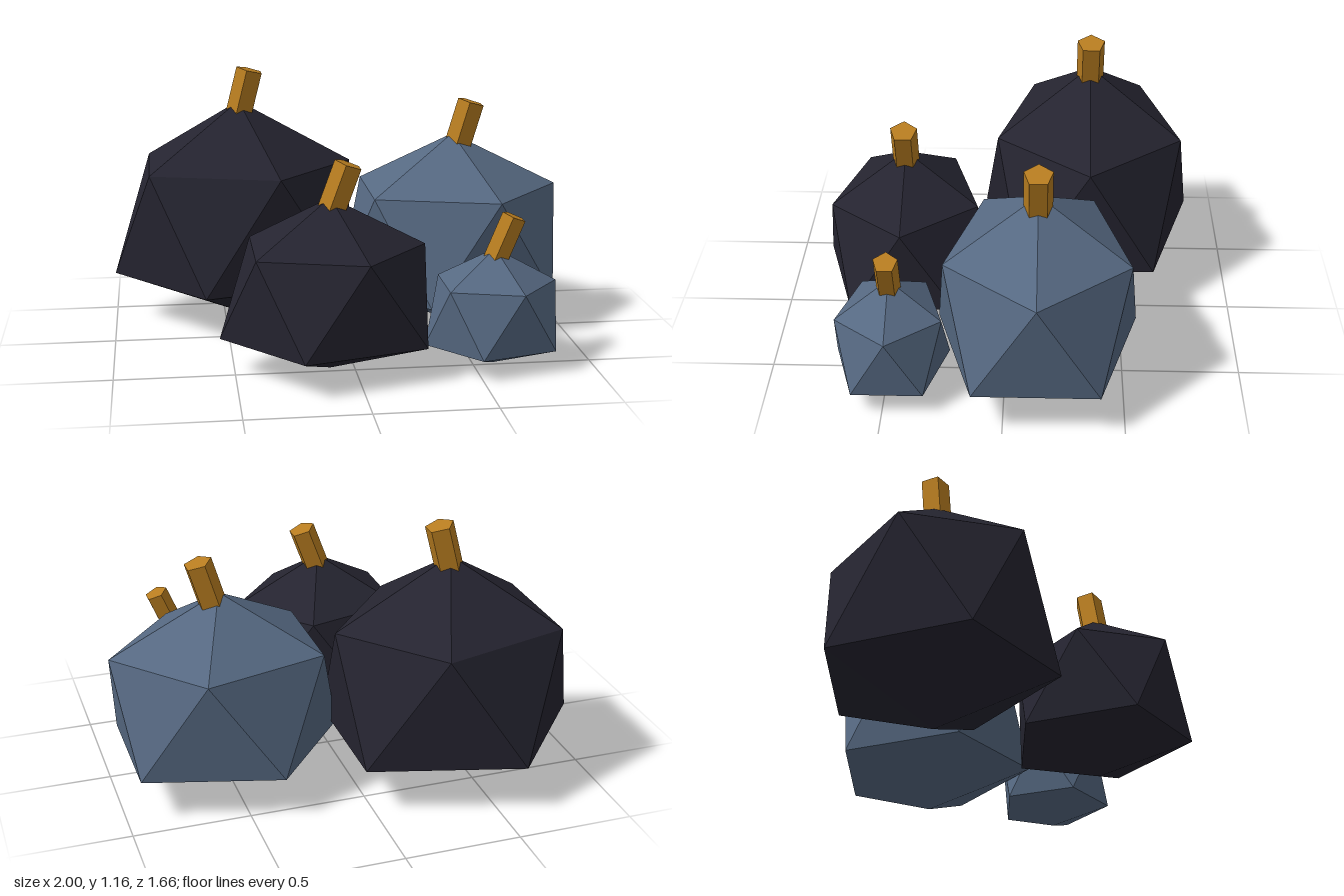
import * as THREE from 'three';

const darkSkin = new THREE.MeshStandardMaterial({ name: 'dark skin', color: 0x252430 });
const blueSkin = new THREE.MeshStandardMaterial({ name: 'slate blue skin', color: 0x566982 });
const stemBrown = new THREE.MeshStandardMaterial({ name: 'golden brown stem', color: 0xb87d20 });

// Faceted fruit body: a stretched, tapered twenty-sided solid from two rings of five and two poles
function bodyGeometry({ top, upper, lower }) {
  const ring = ([rx, rz, y], offset) => Array.from({ length: 5 }, (_, k) => {
    const a = (k + offset) * Math.PI * 0.4;
    return [Math.cos(a) * rx, y, Math.sin(a) * rz];
  });
  const u = ring(upper, 0), l = ring(lower, 0.5);
  const apex = [0, top, 0], base = [0, 0, 0], points = [];
  for (let k = 0; k < 5; k++) {
    const n = (k + 1) % 5;
    points.push(apex, u[n], u[k]);
    points.push(u[k], u[n], l[k]);
    points.push(l[k], u[n], l[n]);
    points.push(base, l[k], l[n]);
  }
  const geometry = new THREE.BufferGeometry();
  geometry.setAttribute('position', new THREE.Float32BufferAttribute(points.flat(), 3));
  geometry.computeVertexNormals();
  return geometry;
}

// Five-sided stem hanging down from the centre of its top cap and leaning towards +x
function makeStem({ cap, tilt, radius, length }) {
  const geometry = new THREE.CylinderGeometry(radius, radius, length, 5, 1, false, -Math.PI / 2).toNonIndexed();
  geometry.translate(0, -length / 2, 0);
  geometry.computeVertexNormals();
  const stem = new THREE.Mesh(geometry, stemBrown);
  stem.rotation.z = -tilt;
  stem.position.set(cap[0], cap[1], 0);
  stem.name = 'stem';
  return stem;
}

// Rings are [x radius, z radius, height]; caps are relative to the fruit centre
const fruits = [
  { name: 'largeDarkFruit', skin: darkSkin, x: -0.423, z: -0.355, top: 1.0,
    upper: [0.507, 0.432, 0.715], lower: [0.577, 0.502, 0.21],
    stem: { cap: [0.055, 1.14], tilt: 0.25, radius: 0.063, length: 0.24 } },
  { name: 'largeBlueFruit', skin: blueSkin, x: 0.52, z: -0.135, top: 0.87,
    upper: [0.475, 0.402, 0.63], lower: [0.514, 0.446, 0.18],
    stem: { cap: [0.085, 1.012], tilt: 0.29, radius: 0.062, length: 0.23 } },
  { name: 'smallDarkFruit', skin: darkSkin, x: -0.1, z: 0.457, top: 0.732,
    upper: [0.395, 0.338, 0.525], lower: [0.46, 0.393, 0.145],
    stem: { cap: [0.076, 0.868], tilt: 0.35, radius: 0.061, length: 0.22 } },
  { name: 'smallBlueFruit', skin: blueSkin, x: 0.586, z: 0.477, top: 0.5,
    upper: [0.262, 0.232, 0.355], lower: [0.29, 0.253, 0.09],
    stem: { cap: [0.078, 0.634], tilt: 0.39, radius: 0.053, length: 0.2 } },
];

export function createModel() {
  const model = new THREE.Group();
  model.name = 'fruitCluster';
  for (const fruit of fruits) {
    const group = new THREE.Group();
    group.name = fruit.name;
    const body = new THREE.Mesh(bodyGeometry(fruit), fruit.skin);
    body.name = 'body';
    group.add(body, makeStem(fruit.stem));
    group.position.set(fruit.x, 0, fruit.z);
    model.add(group);
  }
  return model;
}
